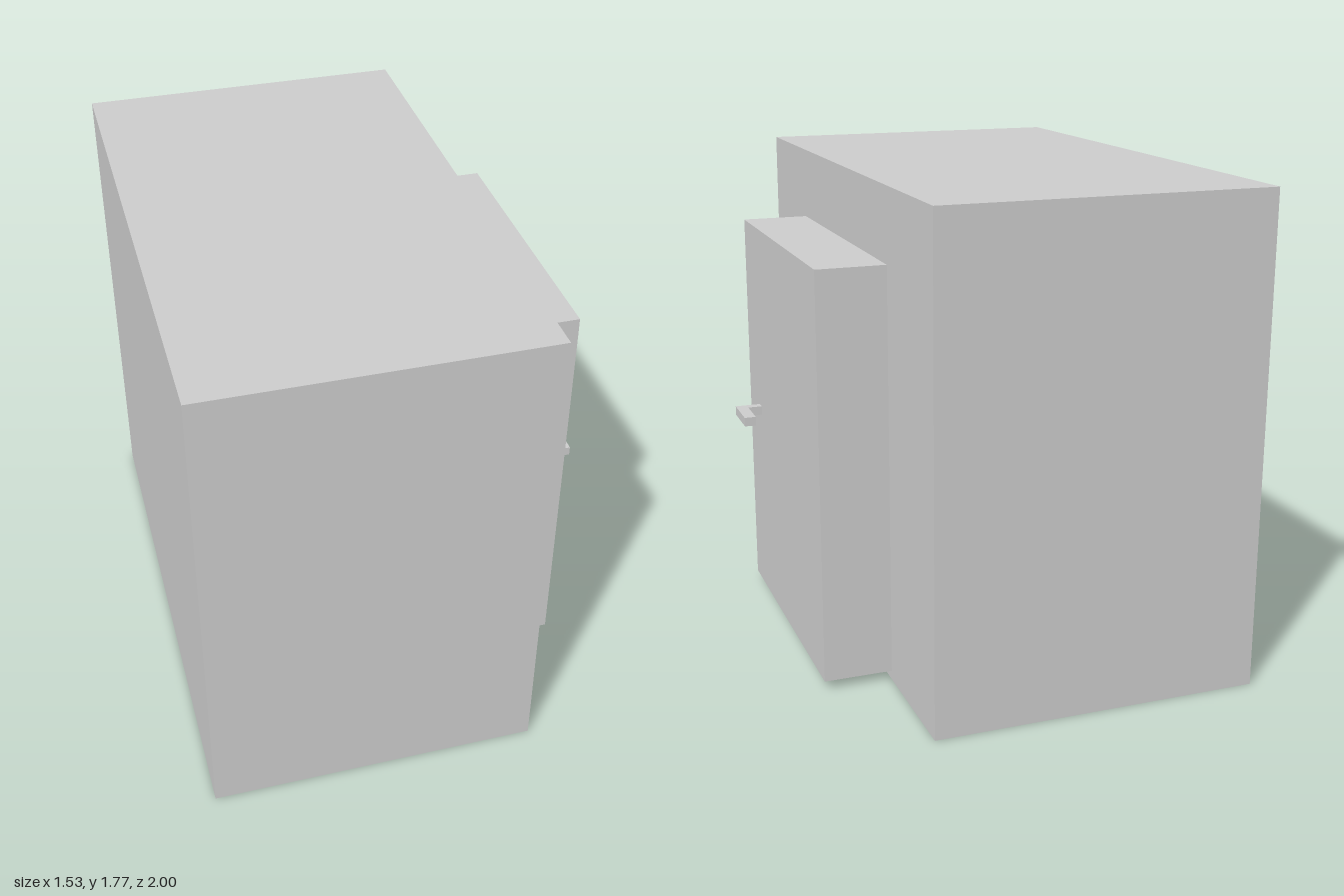
import * as THREE from 'three';

const material = new THREE.MeshStandardMaterial({ color: 0xcccccc, flatShading: true });

// Box given by its lower and upper corners
function block(name, [x0, y0, z0], [x1, y1, z1]) {
  const mesh = new THREE.Mesh(new THREE.BoxGeometry(x1 - x0, y1 - y0, z1 - z0), material);
  mesh.position.set((x0 + x1) / 2, (y0 + y1) / 2, (z0 + z1) / 2);
  mesh.name = name;
  return mesh;
}

export function createModel() {
  const model = new THREE.Group();
  model.name = 'cabinet';

  // Main body and the thick door on its left side
  model.add(block('body', [-0.765, 0, -1], [0.422, 1.77, 1]));
  model.add(block('door', [0.422, 0.033, -0.533], [0.669, 1.507, 0.533]));

  // L-shaped lever handle, drawn in plan (x, -z) and extruded upwards
  const plan = new THREE.Shape([
    [0.669, -0.374], [0.765, -0.374], [0.765, -0.208],
    [0.722, -0.208], [0.722, -0.34], [0.669, -0.34],
  ].map(([x, y]) => new THREE.Vector2(x, y)));
  const handleGeometry = new THREE.ExtrudeGeometry(plan, { depth: 0.034, bevelEnabled: false });
  handleGeometry.rotateX(-Math.PI / 2);
  const handle = new THREE.Mesh(handleGeometry, material);
  handle.position.y = 0.767;
  handle.name = 'handle';
  model.add(handle);

  return model;
}
